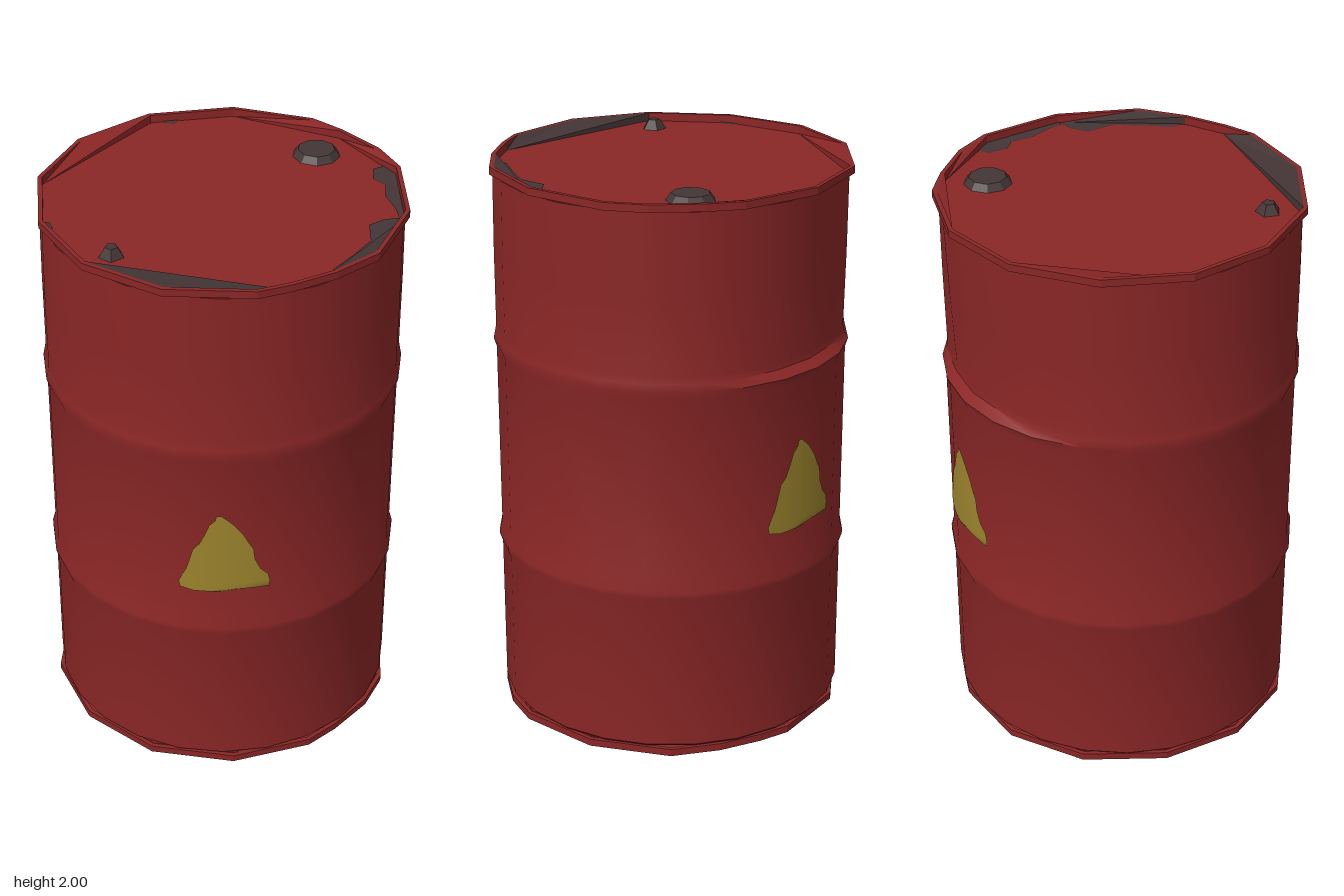
import * as THREE from 'three';
import { toCreasedNormals } from 'three/addons/utils/BufferGeometryUtils.js';

const DEPTH = 0.029; // how far each end plate sits below its rim

// Rim corners [x, z, kind]: 0 = rim only, 1 = also a plate corner,
// 2 = plate corner followed by a worn stretch of inner wall
const CORNERS = [
  [0.04, -0.632, 1], [0.32, -0.545, 0], [0.42, -0.46, 1], [0.54, -0.325, 0], [0.605, -0.19, 1],
  [0.617, 0.11, 2], [0.5, 0.385, 0], [0.36, 0.5, 1], [0.22, 0.575, 2], [0.11, 0.617, 0],
  [-0.19, 0.602, 0], [-0.445, 0.445, 1], [-0.6, 0.18, 1], [-0.622, -0.12, 1],
  [-0.5, -0.39, 0], [-0.26, -0.58, 1],
];

// Shape drawn in plan: [x, z] pairs become a flat outline
const planShape = (pts) => new THREE.Shape(pts.map(([x, z]) => new THREE.Vector2(x, -z)));

function part(parent, name, geometry, material) {
  const mesh = new THREE.Mesh(geometry, material);
  mesh.name = name;
  parent.add(mesh);
  return mesh;
}

// Inner wall joining the rim to the recessed plate; split into clean and worn triangles
function wallGeometry(inner, worn) {
  const out = [];
  const n = inner.length;
  const low = (p) => [p[0], -DEPTH, p[1]];
  const high = (p) => [p[0], 0, p[1]];
  inner.forEach((start, i) => {
    if (!start[2] || (start[2] === 2) !== worn) return;
    let k = i;
    do {
      const a = inner[k % n], b = inner[(k + 1) % n];
      out.push(...low(start), ...high(b), ...high(a));
      k++;
    } while (!inner[k % n][2]);
    const end = inner[k % n];
    out.push(...low(start), ...low(end), ...high(end));
  });
  const g = new THREE.BufferGeometry();
  g.setAttribute('position', new THREE.Float32BufferAttribute(out, 3));
  g.computeVertexNormals();
  return g;
}

// One end of the drum: rim band, inner wall and recessed plate, with its top at y = 0
function drumEnd(name, red, wornMaterial) {
  const group = new THREE.Group();
  group.name = name;
  const inner = CORNERS.map(([x, z, k]) => [x * 0.975, z * 0.975, k]);
  const band = planShape(CORNERS);
  band.holes.push(planShape(inner));
  const rim = new THREE.ExtrudeGeometry(band, { depth: 0.026, bevelEnabled: false });
  rim.rotateX(-Math.PI / 2).translate(0, -0.026, 0);
  part(group, 'rim', rim, red);
  part(group, 'innerWall', wallGeometry(inner, false), red);
  part(group, 'wornInnerWall', wallGeometry(inner, true), wornMaterial);
  const plate = new THREE.ShapeGeometry(planShape(inner.filter((p) => p[2])));
  plate.rotateX(-Math.PI / 2).translate(0, -DEPTH, 0);
  part(group, 'endPlate', plate, red);
  return group;
}

// Curved plate following the drum wall; rows are [y, left x, right x]
function signGeometry(rows, radius, columns = 8) {
  const pos = [], index = [];
  rows.forEach(([y, left, right], r) => {
    for (let c = 0; c <= columns; c++) {
      const a = Math.asin((left + ((right - left) * c) / columns) / radius);
      pos.push(radius * Math.sin(a), y, radius * Math.cos(a));
      if (r && c) {
        const d = r * (columns + 1) + c, b = d - columns - 1;
        index.push(b - 1, b, d, b - 1, d, d - 1);
      }
    }
  });
  const g = new THREE.BufferGeometry();
  g.setAttribute('position', new THREE.Float32BufferAttribute(pos, 3));
  g.setIndex(index);
  g.computeVertexNormals();
  return g;
}

export function createModel() {
  const make = (name, color) =>
    new THREE.MeshStandardMaterial({ name, color, side: THREE.DoubleSide });
  const red = make('red paint', 0x8a2626);
  const yellow = make('yellow paint', 0x9c842d);
  const metal = make('bare metal', 0x433535);

  const drum = new THREE.Group();
  drum.name = 'drum';

  // Wall with two rolled ribs and a shallow dent at the upper back
  const profile = [
    [0.56, 0.03], [0.605, 0.03], [0.615, 0.04], [0.615, 0.58], [0.625, 0.61], [0.625, 0.63],
    [0.615, 0.66], [0.615, 1.33], [0.625, 1.36], [0.62, 1.385], [0.615, 1.41],
    [0.615, 1.68], [0.612, 1.965], [0.56, 1.965],
  ].map(([r, y]) => new THREE.Vector2(r, y));
  const wall = new THREE.LatheGeometry(profile, 24);
  const p = wall.attributes.position;
  for (let i = 0; i < p.count; i++) {
    const x = p.getX(i), y = p.getY(i), z = p.getZ(i);
    if (y < 1.38 || y > 1.95 || z > 0) continue;
    const around = THREE.MathUtils.smoothstep(-z / Math.hypot(x, z), 0.8, 0.97);
    const s = 1 - 0.045 * around * ((1.96 - y) / 0.56);
    p.setXYZ(i, x * s, y, z * s);
  }
  part(drum, 'wall', toCreasedNormals(wall, 0.6), red);

  // Top and bottom ends
  const top = drumEnd('topEnd', red, metal);
  top.position.y = 1.995;
  const bottom = drumEnd('bottomEnd', red, red);
  bottom.rotation.x = Math.PI;
  bottom.scale.set(0.99, 1, 0.985);
  drum.add(top, bottom);

  // Worn paint patches on the lid
  const patches = [
    [[0.585, -0.235], [0.55, -0.24], [0.515, -0.22], [0.51, -0.15], [0.55, -0.11], [0.545, -0.03],
      [0.575, 0.06], [0.58, 0.11], [0.6, 0.11], [0.59, -0.18]],
    [[0.6, 0.11], [0.53, 0.125], [0.48, 0.16], [0.48, 0.26], [0.42, 0.35], [0.35, 0.44], [0.36, 0.48]],
    [[-0.21, -0.572], [-0.2, -0.557], [-0.17, -0.557], [-0.15, -0.585]],
    [[-0.585, 0.14], [-0.565, 0.145], [-0.553, 0.18], [-0.56, 0.21], [-0.572, 0.205]],
  ];
  patches.forEach((pts) => {
    const g = new THREE.ShapeGeometry(planShape(pts));
    part(drum, 'wornPatch', g.rotateX(-Math.PI / 2).translate(0, 1.969, 0), metal);
  });

  // Large and small filler caps
  const cap = (name, x, z, r0, r1, h, sides) => {
    const g = toCreasedNormals(new THREE.CylinderGeometry(r0, r1, h, sides), 0.3);
    part(drum, name, g, metal).position.set(x, 1.964 + h / 2, z);
  };
  cap('largeCap', 0.325, -0.33, 0.065, 0.085, 0.026, 9);
  cap('smallCap', -0.355, 0.35, 0.022, 0.045, 0.036, 5);

  // Ragged painted triangles on the front and back
  const rows = [
    [0.795, -0.1, -0.02], [0.806, -0.145, 0.16], [0.83, -0.15, 0.162], [0.86, -0.138, 0.155],
    [0.885, -0.125, 0.13], [0.93, -0.112, 0.11], [0.975, -0.1, 0.105], [1.0, -0.078, 0.09],
    [1.04, -0.06, 0.07], [1.08, -0.045, 0.04], [1.1, -0.025, 0.02], [1.12, -0.02, -0.005],
  ];
  const sign = signGeometry(rows, 0.619);
  part(drum, 'frontSign', sign, yellow);
  part(drum, 'backSign', sign, yellow).rotation.y = Math.PI - 0.11;

  return drum;
}
